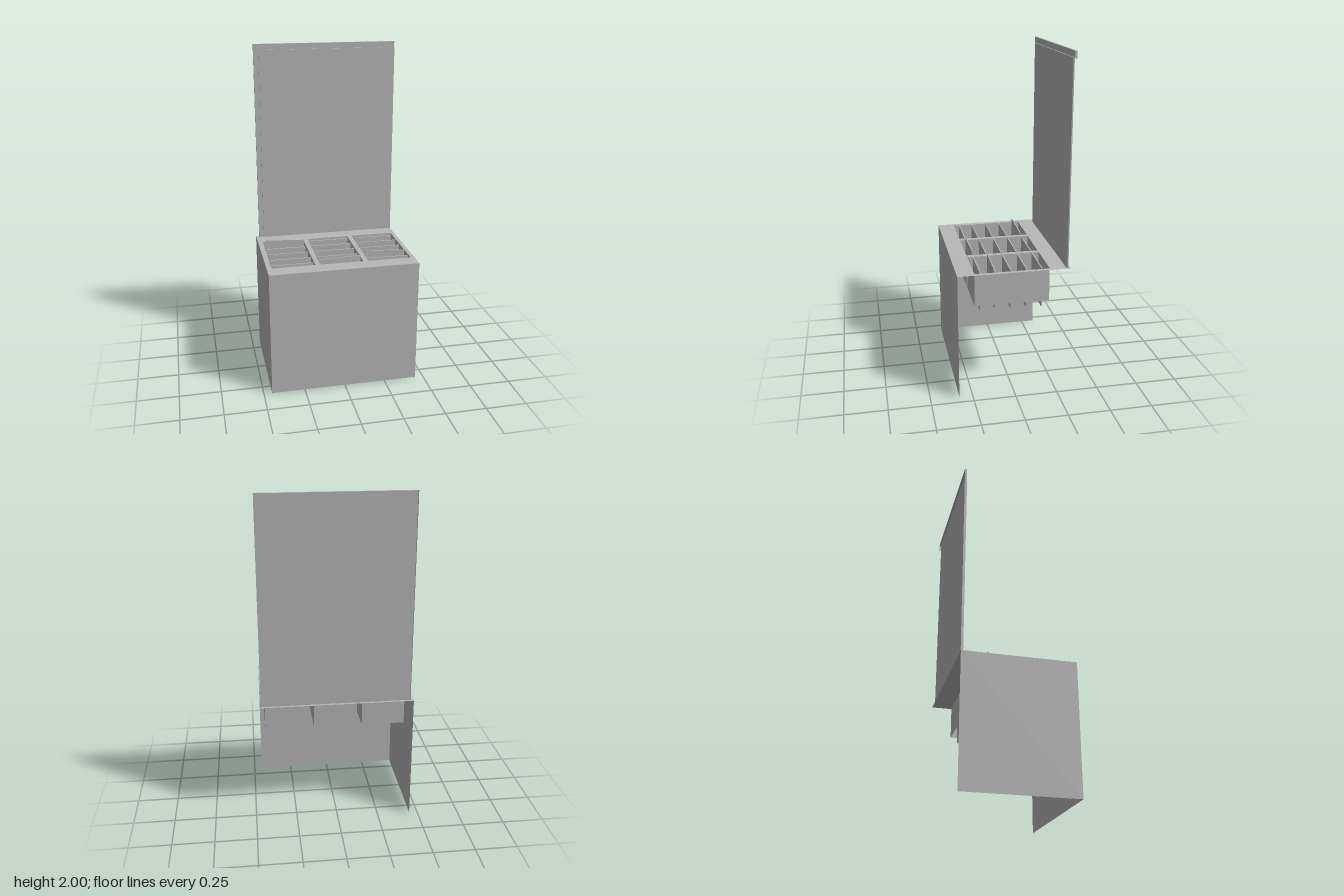
import * as THREE from 'three';

const metal = new THREE.MeshStandardMaterial({ color: 0xb8b8b8, side: THREE.DoubleSide });
metal.name = 'grey sheet metal';

const TOP = 0.77, HALF_W = 0.45, HALF_D = 0.33;
const BIN_BACK = -0.21, BIN_FRONT = 0.23, BIN_FLOOR = 0.57;
const BINS = [[-0.42, -0.16], [-0.13, 0.132], [0.162, 0.426]];
const DIVIDER_Z = [-0.167, -0.077, 0.015, 0.108, 0.193];

function add(group, name, geometry, x = 0, y = 0, z = 0) {
  const mesh = new THREE.Mesh(geometry, metal);
  mesh.name = name;
  mesh.position.set(x, y, z);
  group.add(mesh);
  return mesh;
}

// Thin sheet facing z, given by its limits
function sheetZ(group, name, x0, x1, y0, y1, z) {
  return add(group, name, new THREE.PlaneGeometry(x1 - x0, y1 - y0), (x0 + x1) / 2, (y0 + y1) / 2, z);
}

// Thin sheet facing x, given by its limits
function sheetX(group, name, x, y0, y1, z0, z1) {
  const g = new THREE.PlaneGeometry(z1 - z0, y1 - y0).rotateY(Math.PI / 2);
  return add(group, name, g, x, (y0 + y1) / 2, (z0 + z1) / 2);
}

function rectangle(path, x0, x1, y0, y1) {
  path.moveTo(x0, y0).lineTo(x1, y0).lineTo(x1, y1).lineTo(x0, y1).closePath();
  return path;
}

export function createModel() {
  const model = new THREE.Group();
  model.name = 'openBin';

  // Cabinet: front and one side, open at the back, bottom and other side
  sheetZ(model, 'frontPanel', -HALF_W, HALF_W, 0, TOP, HALF_D);
  sheetX(model, 'sidePanel', -HALF_W, 0, TOP, -HALF_D, HALF_D);

  // Top sheet with three openings
  const top = rectangle(new THREE.Shape(), -HALF_W, HALF_W, -HALF_D, HALF_D);
  for (const [x0, x1] of BINS) {
    top.holes.push(rectangle(new THREE.Path(), x0, x1, -BIN_FRONT, -BIN_BACK));
  }
  add(model, 'topSheet', new THREE.ShapeGeometry(top).rotateX(-Math.PI / 2), 0, TOP, 0);

  // Bins: four walls and five hanging dividers each
  BINS.forEach(([x0, x1], bin) => {
    const group = new THREE.Group();
    group.name = 'bin' + (bin + 1);
    model.add(group);
    sheetZ(group, 'binBackWall', x0, x1, BIN_FLOOR, TOP, BIN_BACK);
    sheetZ(group, 'binFrontWall', x0, x1, BIN_FLOOR, TOP, BIN_FRONT);
    sheetX(group, 'binRightWall', x0, BIN_FLOOR, TOP, BIN_BACK, BIN_FRONT);
    sheetX(group, 'binLeftWall', x1, BIN_FLOOR, TOP, BIN_BACK, BIN_FRONT);
    DIVIDER_Z.forEach((z, i) => {
      const divider = add(group, 'divider', new THREE.BoxGeometry(0.247, 0.238, 0.007),
        (x0 + x1) / 2, 0.652, z);
      // One divider per bin sits a little crooked
      const tilt = { '0-0': -0.05, '1-4': 0.03, '2-3': -0.05 }[bin + '-' + i];
      if (tilt) {
        divider.rotation.z = tilt;
        divider.position.y += bin === 2 ? 0.01 : 0.02;
      }
    });
  });

  // Raised lid: sheet with folded rims and a stiffening panel on its front
  const lid = new THREE.Group();
  lid.name = 'lid';
  model.add(lid);
  sheetZ(lid, 'lidSheet', -0.43, HALF_W, TOP, 2, -0.314);
  const inner = new THREE.BoxGeometry(0.85, 1.965 - TOP, 0.007);
  add(lid, 'lidInnerPanel', inner, 0.025, (1.965 + TOP) / 2, -0.3105);
  const rim = new THREE.PlaneGeometry(0.88, 0.013).rotateX(-Math.PI / 2);
  add(lid, 'lidTopRim', rim, 0.01, 2, -0.3205);
  sheetX(lid, 'lidSideRim', -0.43, TOP, 2, -0.327, -0.314);
  sheetX(lid, 'lidCornerTab', HALF_W, 1.96, 2, -0.327, -0.314);

  return model;
}
